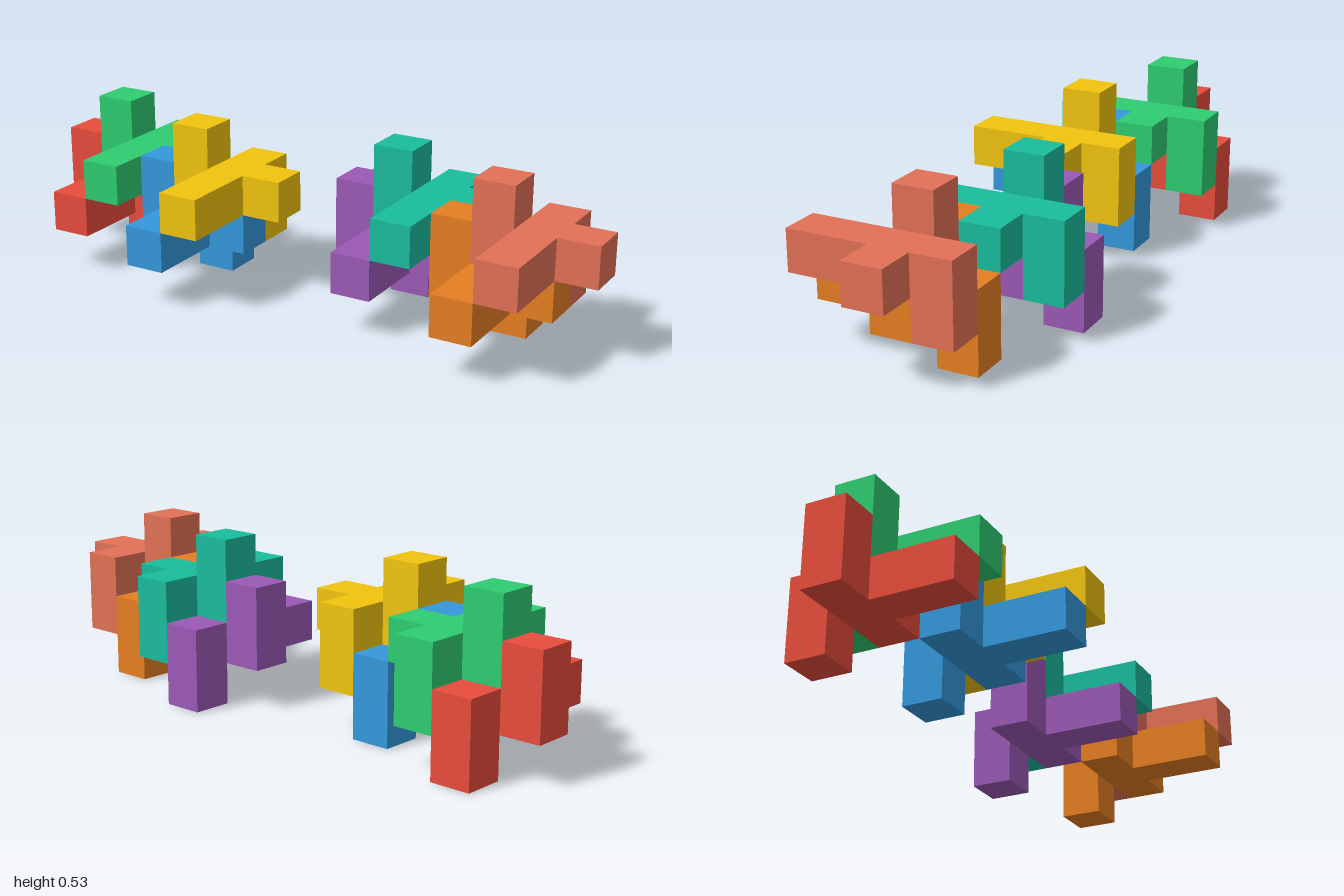
import * as THREE from 'three';
import { mergeGeometries } from 'three/addons/utils/BufferGeometryUtils.js';

const U = 2 / 15; // edge of one cube

// Eight cubes of one piece, relative to the middle of its cross
const CELLS = [
  [0, 0, -1], [0, 0, 0], [0, 0, 1], [0, 0, 2], // long bar
  [-1, 0, 0], [-1, 1, 0], // side arm with raised post
  [1, 0, 0], // opposite arm
  [0, -1, -1], // foot under the back end
];

const NORMALS = [[1, 0, 0], [-1, 0, 0], [0, 1, 0], [0, -1, 0], [0, 0, 1], [0, 0, -1]];

// Outer skin of the joined cubes: one square wherever no neighbour touches
function pieceGeometry() {
  const filled = new Set(CELLS.map(String));
  const faces = [];
  for (const c of CELLS) {
    for (const n of NORMALS) {
      if (filled.has(String(c.map((v, i) => v + n[i])))) continue;
      const normal = new THREE.Vector3(...n);
      const turn = new THREE.Quaternion().setFromUnitVectors(new THREE.Vector3(0, 0, 1), normal);
      const at = new THREE.Vector3(...c).addScaledVector(normal, 0.5).multiplyScalar(U);
      faces.push(new THREE.PlaneGeometry(U, U).applyQuaternion(turn).translate(at.x, at.y, at.z));
    }
  }
  return mergeGeometries(faces);
}

export function createModel() {
  const model = new THREE.Group();
  model.name = 'interlockingCubePieces';
  const geometry = pieceGeometry();

  // Each cluster nests four identical pieces; offsets are in cubes
  const offsets = [[-6, 1.5, -1], [-5, 2.5, -1], [-3, 1.5, 0], [-2, 2.5, 0]];
  const clusters = [
    ['rightCluster', 0, [['red', 0xe74c3c], ['green', 0x2ecc71], ['blue', 0x3498db], ['yellow', 0xf1c40f]]],
    ['leftCluster', 8, [['purple', 0x9b59b6], ['teal', 0x1abc9c], ['orange', 0xe67e22], ['coral', 0xe17055]]],
  ];
  for (const [name, shift, colors] of clusters) {
    const cluster = new THREE.Group();
    cluster.name = name;
    cluster.position.x = shift * U;
    colors.forEach(([label, color], i) => {
      const piece = new THREE.Mesh(geometry, new THREE.MeshStandardMaterial({ color }));
      piece.name = label + 'Piece';
      piece.position.set(...offsets[i]).multiplyScalar(U);
      cluster.add(piece);
    });
    model.add(cluster);
  }
  return model;
}
